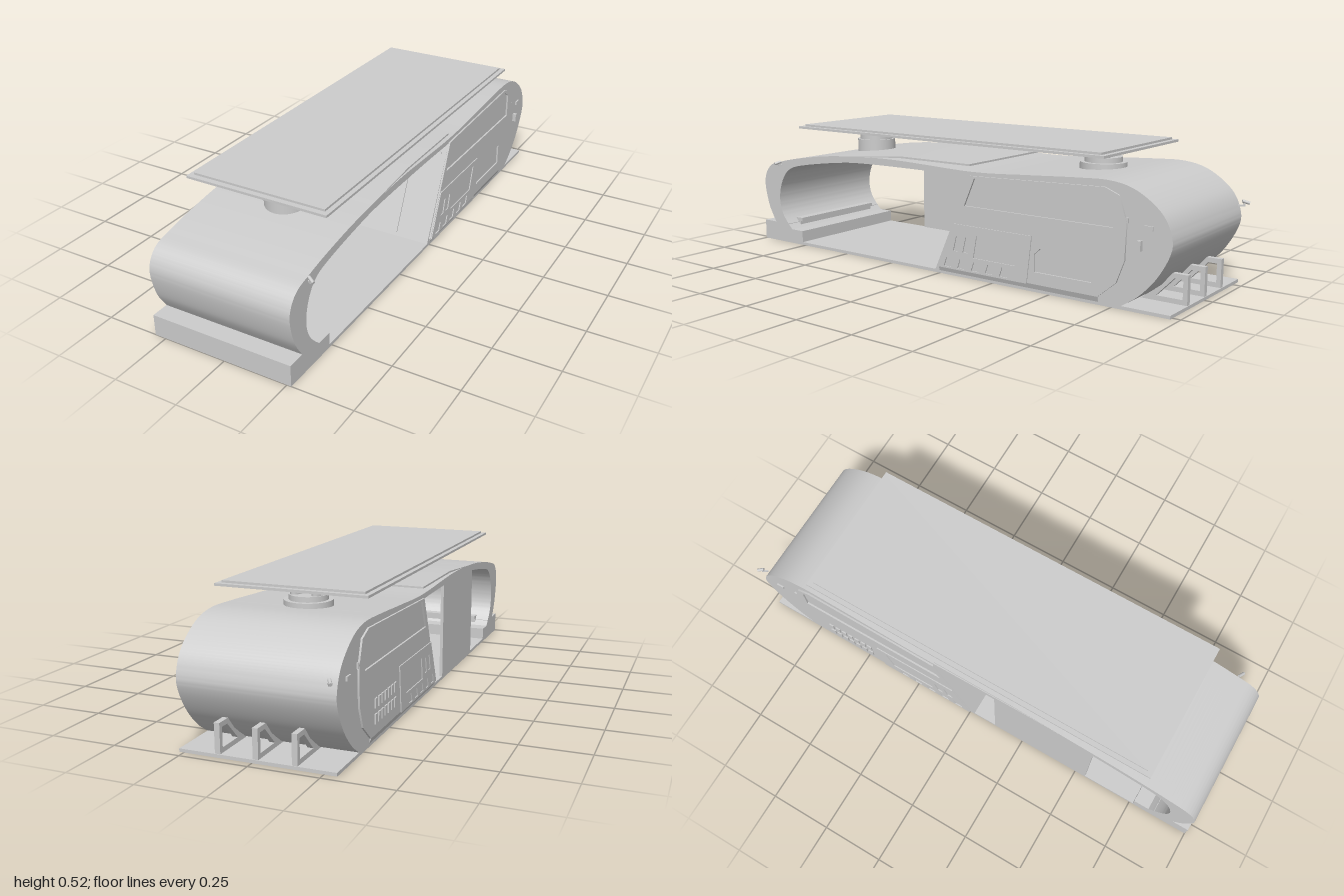
import * as THREE from 'three';
import { toCreasedNormals } from 'three/addons/utils/BufferGeometryUtils.js';

const X0 = -0.295, X1 = 0.267, W = X1 - X0, CX = (X0 + X1) / 2;

export function createModel() {
  const model = new THREE.Group();
  const grey = new THREE.MeshStandardMaterial({ color: 0xcccccc, side: THREE.DoubleSide });

  const add = (name, geo, x = 0, y = 0, z = 0, parent = model) => {
    const m = new THREE.Mesh(geo, grey);
    m.name = name;
    m.position.set(x, y, z);
    parent.add(m);
    return m;
  };
  // Box given by its limits on each axis
  const box = (name, xa, xb, ya, yb, za, zb, parent) =>
    add(name, new THREE.BoxGeometry(xb - xa, yb - ya, zb - za), (xa + xb) / 2, (ya + yb) / 2, (za + zb) / 2, parent);
  const vecs = pts => pts.map(p => new THREE.Vector2(p[0], p[1]));
  // Side outline in (z, y), extruded from x = xa to x = xb
  const slab = (name, shape, xa, xb, holes = []) => {
    holes.forEach(h => shape.holes.push(new THREE.Path(vecs(h))));
    const g = new THREE.ExtrudeGeometry(shape, { depth: xb - xa, bevelEnabled: false, curveSegments: 8 });
    g.rotateY(-Math.PI / 2);
    return add(name, toCreasedNormals(g, 0.5), xb, 0, 0);
  };
  const poly = pts => new THREE.Shape(vecs(pts));

  // Shell: curled front, roof and closed rear cabin with a sloping front wall
  const shell = new THREE.Shape();
  shell.moveTo(0.9, 0.01);
  shell.lineTo(0.93, 0.08);
  shell.splineThru(vecs([[0.97, 0.15], [0.992, 0.24], [0.982, 0.295], [0.945, 0.335], [0.88, 0.354],
    [0.76, 0.378], [0.55, 0.405], [0.25, 0.418], [-0.15, 0.408], [-0.4, 0.42], [-0.6, 0.432], [-0.74, 0.435],
    [-0.84, 0.41], [-0.93, 0.345], [-0.967, 0.27], [-0.962, 0.21], [-0.915, 0.125], [-0.85, 0.055], [-0.785, 0.01]]));
  shell.lineTo(0.022, 0.01);
  shell.lineTo(-0.148, 0.388);
  shell.splineThru(vecs([[0.1, 0.391], [0.4, 0.388], [0.55, 0.377], [0.75, 0.348], [0.835, 0.322], [0.88, 0.27],
    [0.9, 0.2], [0.89, 0.135], [0.85, 0.08], [0.78, 0.02], [0.76, 0.01]]));
  slab('shell', shell, X0, X1);

  // Raised lip on the roof
  slab('roofLip', poly([[0.5, 0.408], [0.2, 0.428], [-0.145, 0.428], [-0.145, 0.435], [0.2, 0.435]]), X0, X1);

  // Floor, front step and inner benches
  box('floor', X0, X1, 0, 0.012, -0.97, 1);
  box('frontStep', X0, X1, 0.01, 0.082, 0.85, 1);
  box('bench', X0 + 0.06, X1 - 0.06, 0.085, 0.1, 0.83, 0.91);
  box('benchFoot', X0 + 0.06, X1 - 0.06, 0.01, 0.085, 0.84, 0.88);
  box('innerStep', X0, X1, 0.01, 0.06, 0.765, 0.84);

  // Standing side panel on the right
  box('sidePanel', X0, X0 + 0.012, 0.01, 0.392, 0.12, 0.545);

  // Door frames and handles on the sloping cabin wall
  const wall = new THREE.Group();
  wall.name = 'cabinDoors';
  wall.position.set(CX, 0.2, -0.061);
  wall.rotation.x = -Math.atan2(0.17, 0.378);
  model.add(wall);
  for (const s of [-1, 1]) {
    box('doorEdge', s * 0.14 - 0.002, s * 0.14 + 0.002, -0.19, 0.16, -0.002, 0.003, wall);
    box('doorHandle', s * 0.015 - 0.003, s * 0.015 + 0.003, -0.05, 0.06, -0.002, 0.012, wall);
  }
  box('doorTrack', -0.26, 0.26, 0.16, 0.168, -0.002, 0.004, wall);

  // Cabin side cladding: a thin plate with window openings, and a thicker lower plate with vents
  const rectHole = (za, zb, ya, yb, lean = 0) => [[za, ya], [za - lean, yb], [zb - lean, yb], [zb, ya]];
  const windowHole = [[-0.125, 0.278], [-0.172, 0.385], [-0.72, 0.397], [-0.755, 0.375], [-0.755, 0.278]];
  const serviceHole = [[-0.44, 0.075], [-0.44, 0.14], [-0.465, 0.163], [-0.675, 0.163], [-0.675, 0.075]];
  for (const s of [-1, 1]) {
    const at = (a, b) => s > 0 ? [X1 + a, X1 + b] : [X0 - b, X0 - a];
    const cladding = poly([[0.005, 0.03], [-0.15, 0.393], [-0.72, 0.412], [-0.775, 0.39], [-0.805, 0.3],
      [-0.8, 0.17], [-0.77, 0.09], [-0.7, 0.03]]);
    slab('sideCladding', cladding, ...at(-0.002, 0.007), s > 0 ? [windowHole, serviceHole] : [windowHole]);

    const holes = [[[-0.17, 0.085], [-0.185, 0.17], [-0.39, 0.185], [-0.36, 0.085]]];
    for (let i = 0; i < 5; i++) holes.push(rectHole(-0.03 - i * 0.065, -0.065 - i * 0.065, 0.035, 0.07, 0.012));
    for (let i = 0; i < 2; i++) holes.push(rectHole(-0.075 - i * 0.045, -0.1 - i * 0.045, 0.1, 0.16, 0.015));
    slab('lowerPlate', poly([[0.003, 0.028], [-0.072, 0.205], [-0.43, 0.205], [-0.41, 0.028]]), ...at(0.006, 0.011), holes);

    // Sloped sill below the cladding
    const [a, b] = at(-0.002, 0.007);
    const outer = s > 0 ? b : a, inner = s > 0 ? a : b;
    const sill = new THREE.Shape(vecs([[inner, 0.005], [outer, 0.03], [inner, 0.03]]));
    add('sill', new THREE.ExtrudeGeometry(sill, { depth: 0.7, bevelEnabled: false }), 0, 0, -0.7);

    // Rear corner fittings
    const [fa, fb] = at(-0.002, 0.006);
    box('lampHousing', fa, fb, 0.285, 0.3, -0.9, -0.87);
    box('lampHousing', fa, fb, 0.3, 0.32, -0.81, -0.8);
  }
  // Vent bars on the right, frame and control box on the left
  for (let r = 0; r < 2; r++) for (let i = 0; i < 7; i++)
    box('ventBar', X0 - 0.012, X0 - 0.005, 0.07 + r * 0.055, 0.105 + r * 0.055, -0.67 + i * 0.031, -0.65 + i * 0.031);
  box('controlBox', X1 - 0.002, X1 + 0.016, 0.213, 0.248, -0.862, -0.848);

  // Roof platform on two stepped pedestals
  const cyl = (name, r, ya, yb, z) => add(name, new THREE.CylinderGeometry(r, r, yb - ya, 40), CX + 0.002, (ya + yb) / 2, z);
  for (const [z, r, y] of [[0.58, 0.08, 0.393], [-0.55, 0.087, 0.415]]) {
    cyl('pedestalBase', r, y, 0.451, z);
    cyl('pedestalCollar', 0.07, 0.45, 0.47, z);
    for (const s of [-1, 1]) {
      const post = add('pedestalPost', new THREE.CylinderGeometry(0.022, 0.022, 0.037, 24), CX + 0.002 + s * 0.04, 0.488, z);
      post.scale.z = 2.1;
    }
  }
  box('platform', X0, X1, 0.505, 0.514, -0.71, 0.765);
  box('platformTop', X0 + 0.018, X1 - 0.018, 0.513, 0.522, -0.69, 0.745);

  // Three triangular braces behind the rear
  for (const x of [0.125, -0.012, -0.15]) {
    const brace = poly([[-0.79, 0.01], [-0.87, 0.07], [-0.91, 0.118], [-0.967, 0.118], [-0.967, 0.01]]);
    slab('rearBrace', brace, x - 0.01, x + 0.01, [[[-0.85, 0.03], [-0.917, 0.1], [-0.95, 0.1], [-0.95, 0.03]]]);
  }

  // Small security cameras at two opposite corners
  for (const [x, y, z, turn] of [[X1, 0.345, 0.88, 1.1], [X0 + 0.022, 0.303, -0.975, 3.7]]) {
    const cam = new THREE.Group();
    cam.name = 'securityCamera';
    cam.position.set(x, y, z);
    cam.rotation.y = turn;
    box('cameraArm', -0.003, 0.003, -0.012, -0.006, -0.01, 0.016, cam);
    box('cameraStem', -0.003, 0.003, -0.012, 0.004, 0.01, 0.016, cam);
    const body = add('cameraBody', new THREE.CylinderGeometry(0.006, 0.006, 0.028, 12), 0, 0.004, 0.018, cam);
    body.rotation.x = Math.PI / 2 + 0.3;
    model.add(cam);
  }
  return model;
}
